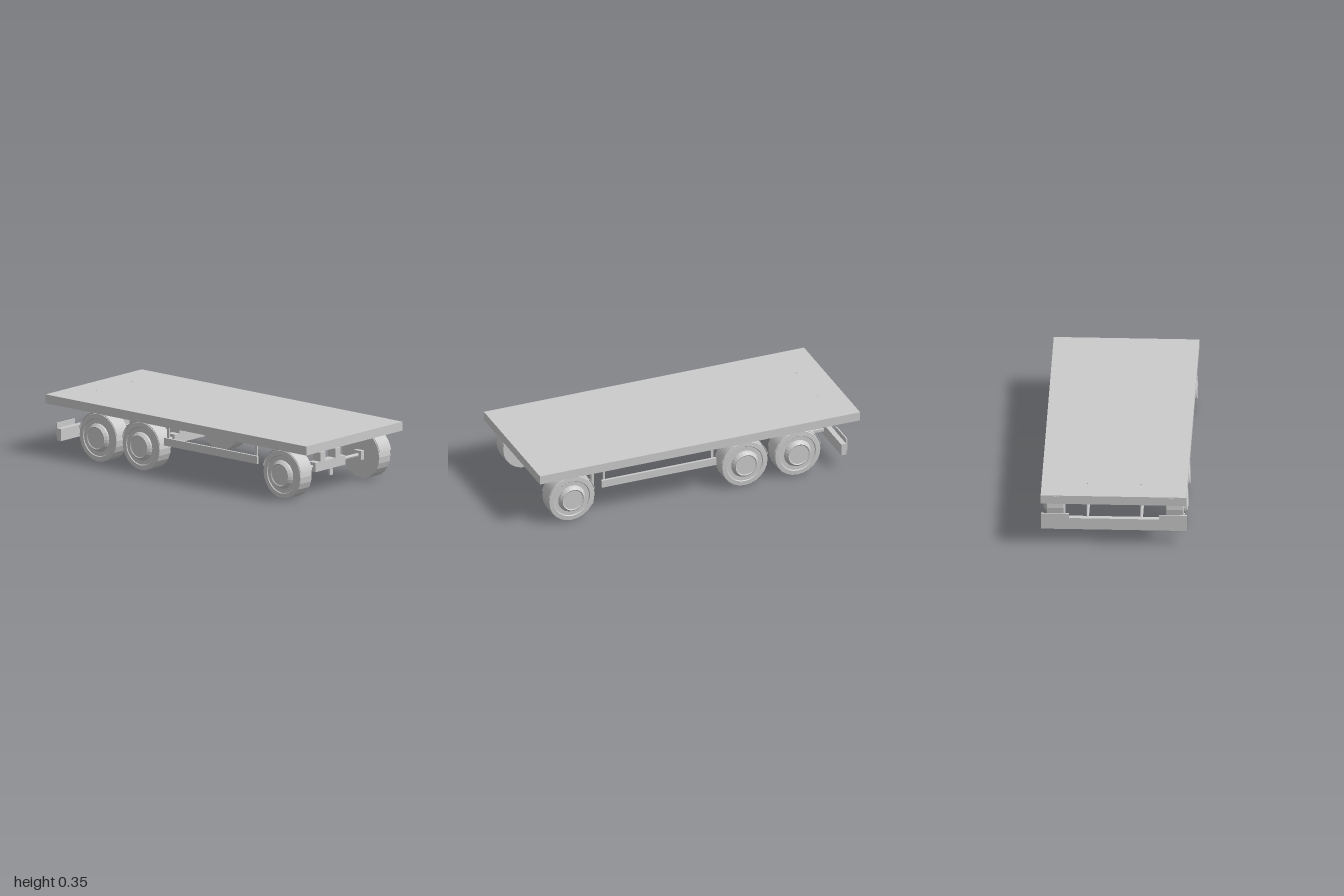
import * as THREE from 'three';

const flat = new THREE.MeshStandardMaterial({ color: 0xcccccc, flatShading: true, side: THREE.DoubleSide });

export function createModel() {
  const root = new THREE.Group();
  root.name = 'flatbedTrailer';

  const add = (name, geometry, parent = root) => {
    const mesh = new THREE.Mesh(geometry, flat);
    mesh.name = name;
    parent.add(mesh);
    return mesh;
  };
  // Box given by its minimum and maximum on each axis
  const box = (name, x0, x1, y0, y1, z0, z1, parent) => {
    const g = new THREE.BoxGeometry(x1 - x0, y1 - y0, z1 - z0);
    g.translate((x0 + x1) / 2, (y0 + y1) / 2, (z0 + z1) / 2);
    return add(name, g, parent);
  };
  // Same box on both sides of the trailer
  const pair = (name, x0, x1, y0, y1, z0, z1, parent) => {
    box(name + 'Left', x0, x1, y0, y1, z0, z1, parent);
    box(name + 'Right', -x1, -x0, y0, y1, z0, z1, parent);
  };

  // Load bed and chassis
  box('deck', -0.42, 0.42, 0.292, 0.345, -0.999, 1);
  box('chassis', -0.178, 0.178, 0.22, 0.293, -0.815, 0.626);

  // Tail lights: three cells at each rear corner
  for (let i = 0; i < 3; i++) {
    const x = 0.285 + i * 0.045;
    pair('tailLight' + i, x, x + 0.04, 0.3, 0.338, -1, -0.99);
  }

  // Wheel profile: inner face, tread, side wall, rim groove and raised hub
  const R = 0.143;
  const profile = [
    [0, 0.294], [R - 0.002, 0.294], [R, 0.296], [R, 0.391], [R - 0.003, 0.394],
    [0.113, 0.396], [0.109, 0.391], [0.084, 0.391], [0.08, 0.4], [0.066, 0.416],
    [0.06, 0.412], [0, 0.412],
  ].map(([r, h]) => new THREE.Vector2(r, h));

  const addAxle = (name, z) => {
    const axle = new THREE.Group();
    axle.name = name;
    axle.position.set(0, R, z);
    root.add(axle);

    for (const side of [1, -1]) {
      const wheel = new THREE.LatheGeometry(profile, 24);
      wheel.rotateZ(-side * Math.PI / 2);
      add('wheel', wheel, axle);

      // Thin mudguard arched over the tyre
      const shape = new THREE.Shape();
      const a = 0.21;
      shape.absarc(0, 0, 0.149, a, Math.PI - a, false);
      shape.absarc(0, 0, 0.146, Math.PI - a, a, true);
      const guard = new THREE.ExtrudeGeometry(shape, { depth: 0.1, bevelEnabled: false, curveSegments: 14 });
      guard.translate(0, 0, -0.05);
      guard.rotateY(Math.PI / 2);
      guard.translate(side * 0.345, 0, 0);
      add('mudguard', guard, axle);
    }
    const rod = new THREE.CylinderGeometry(0.011, 0.011, 0.6, 8);
    rod.rotateZ(Math.PI / 2);
    add('axleRod', rod, axle);
    box('axleBeam', -0.131, 0.131, -0.029, 0.026, -0.027, 0.027, axle);
    pair('axleUpright', 0.043, 0.089, 0.026, 0.08, -0.027, 0.027, axle);
    pair('brakeBlock', 0.266, 0.296, -0.027, 0.026, -0.027, 0.027, axle);
  };
  addAxle('frontAxle', 0.79);
  addAxle('middleAxle', -0.29);
  addAxle('rearAxle', -0.62);

  // Side guards with hanger posts
  pair('sideGuard', 0.385, 0.4, 0.177, 0.222, -0.11, 0.605);
  for (const z of [-0.09, 0.585]) pair('sideGuardPost', 0.375, 0.385, 0.18, 0.294, z - 0.007, z + 0.007);

  // Parking legs with a flared foot
  pair('parkingLeg', 0.228, 0.26, 0.08, 0.294, 0.597, 0.612);
  const foot = new THREE.Shape([
    [-0.013, 0], [0.013, 0], [0.013, 0.022], [0.009, 0.055], [0.009, 0.085], [-0.009, 0.085], [-0.009, 0.055], [-0.013, 0.022],
  ].map(([x, y]) => new THREE.Vector2(x, y)));
  for (const side of [1, -1]) {
    const g = new THREE.ExtrudeGeometry(foot, { depth: 0.011, bevelEnabled: false });
    g.translate(side * 0.244, 0, 0.599);
    add('legFoot', g);
  }

  // Rear underrun bumper with raised end plates
  box('bumper', -0.42, 0.42, 0.086, 0.157, -0.913, -0.881);
  pair('bumperEndPlate', 0.26, 0.42, 0.115, 0.188, -0.92, -0.912);

  // Bumper arms and curved hangers
  pair('bumperArm', 0.148, 0.163, 0.115, 0.13, -0.885, -0.62);
  for (const side of [1, -1]) {
    const path = new THREE.CatmullRomCurve3([
      [0.347, -0.842], [0.28, -0.845], [0.21, -0.86], [0.145, -0.89],
    ].map(([y, z]) => new THREE.Vector3(side * 0.155, y, z)));
    add('bumperHanger', new THREE.TubeGeometry(path, 10, 0.005, 6));
  }

  return root;
}
